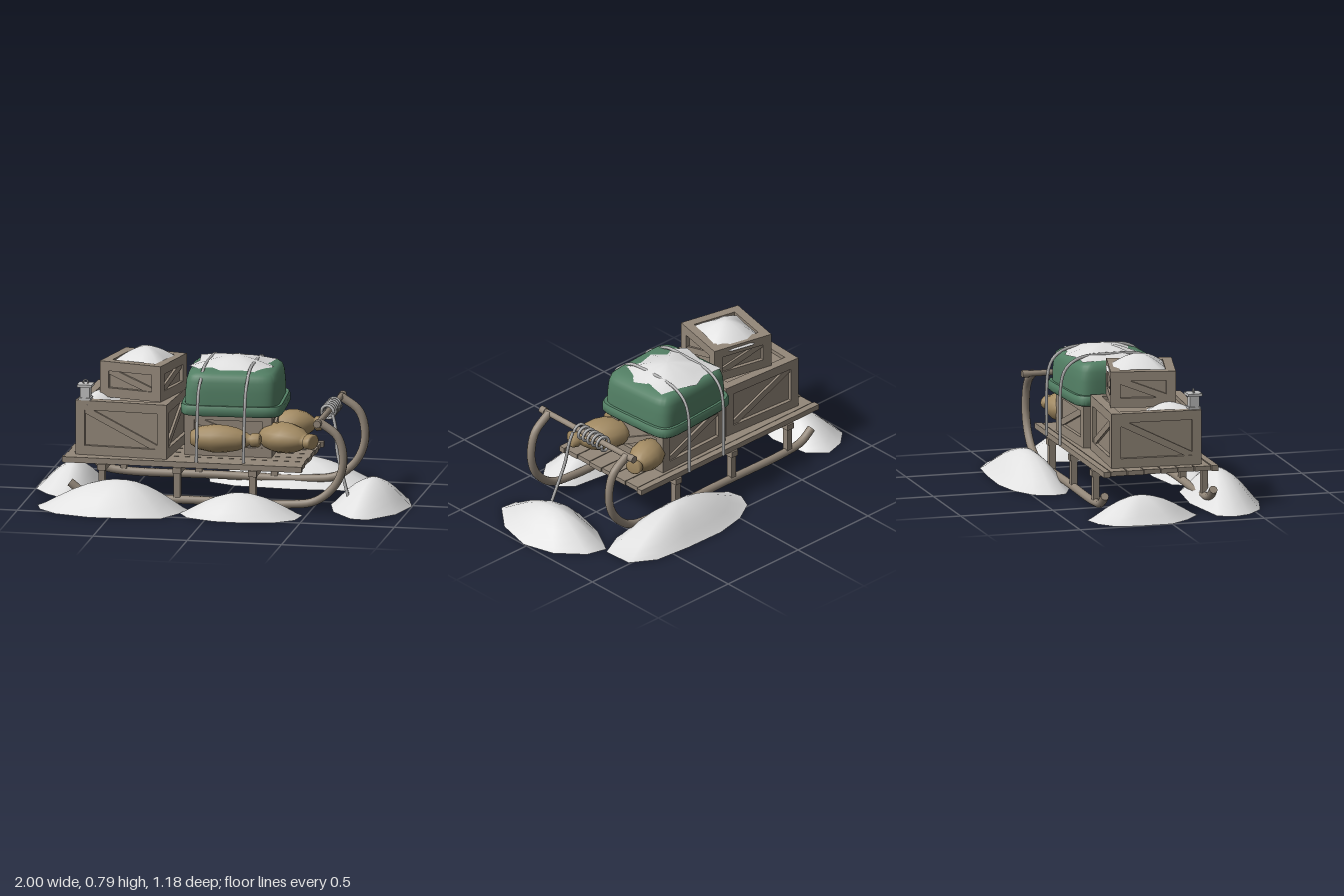
import * as THREE from 'three';
import { toCreasedNormals } from 'three/addons/utils/BufferGeometryUtils.js';

const mat = (name, color, side = THREE.FrontSide) => {
  const m = new THREE.MeshStandardMaterial({ color, side });
  m.name = name;
  return m;
};

export function createModel() {
  const wood = mat('weathered wood', 0x938779);
  const snow = mat('snow', 0xe0e0e0, THREE.DoubleSide);
  const green = mat('green tarp', 0x538065, THREE.DoubleSide);
  const sackcloth = mat('sackcloth', 0xa28a62);
  const rope = mat('pale rope', 0xb6b6b6);
  const metal = mat('lantern metal', 0xc2c2c2);

  const model = new THREE.Group();
  model.name = 'loadedSled';

  const add = (name, geo, material, x = 0, y = 0, z = 0, parent = model) => {
    const m = new THREE.Mesh(geo, material);
    m.name = name;
    m.position.set(x, y, z);
    parent.add(m);
    return m;
  };
  const box = (name, w, h, d, x, y, z, material = wood, parent = model) =>
    add(name, new THREE.BoxGeometry(w, h, d), material, x, y, z, parent);
  const curve = (pts) => new THREE.CatmullRomCurve3(pts.map((p) => new THREE.Vector3(...p)));
  const tube = (name, path, r, material, steps = 40, sides = 8) =>
    add(name, new THREE.TubeGeometry(path, steps, r, sides), material);

  // Skin closed rings of equal length, from bottom to top
  function loft(rings) {
    const n = rings[0].length, idx = [];
    for (let k = 0; k < rings.length - 1; k++)
      for (let i = 0; i < n; i++) {
        const a = k * n + i, b = k * n + (i + 1) % n;
        idx.push(a, a + n, b, b, a + n, b + n);
      }
    const g = new THREE.BufferGeometry();
    g.setAttribute('position', new THREE.Float32BufferAttribute(rings.flat(2), 3));
    g.setIndex(idx);
    g.computeVertexNormals();
    return g;
  }

  // Snow mound: an outline in x,z rising to a soft peak
  function mound(name, outline, [px, pz], h, y = 0) {
    const area = outline.reduce((s, [x, z], i) => {
      const [u, v] = outline[(i + 1) % outline.length];
      return s + x * v - u * z;
    }, 0);
    const pts = area > 0 ? outline : [...outline].reverse();
    const rings = [1, 0.9, 0.75, 0.58, 0.4, 0.22, 0.1, 0].map((t) =>
      pts.map(([x, z]) => [px + (x - px) * t, y + h * (1 - t * t) ** 1.3, pz + (z - pz) * t]));
    add(name, loft(rings), snow);
  }

  // Snow drifts on the ground
  mound('backDrift', [[-0.16, -0.4], [-0.12, -0.49], [0, -0.56], [0.17, -0.595], [0.4, -0.59], [0.6, -0.57],
    [0.73, -0.49], [0.74, -0.33], [0.6, -0.26], [0.3, -0.24], [0, -0.26], [-0.14, -0.32]], [0.3, -0.4], 0.15);
  mound('noseDrift', [[0.72, -0.31], [0.83, -0.28], [0.95, -0.15], [1, 0.02], [0.95, 0.22], [0.83, 0.37],
    [0.74, 0.36], [0.62, 0.22], [0.575, 0.05], [0.63, -0.15]], [0.79, 0.02], 0.145);
  mound('frontRightDrift', [[-0.16, 0.4], [-0.1, 0.5], [0.05, 0.555], [0.2, 0.56], [0.36, 0.53], [0.46, 0.45],
    [0.48, 0.33], [0.4, 0.26], [0.15, 0.23], [-0.08, 0.27]], [0.16, 0.39], 0.12);
  mound('frontLeftDrift', [[-0.92, 0.36], [-0.89, 0.45], [-0.79, 0.54], [-0.6, 0.59], [-0.4, 0.58], [-0.23, 0.55],
    [-0.16, 0.42], [-0.12, 0.33], [-0.25, 0.26], [-0.55, 0.23], [-0.88, 0.28]], [-0.47, 0.4], 0.165);
  mound('tailDrift', [[-1, -0.18], [-0.98, -0.3], [-0.9, -0.37], [-0.79, -0.4], [-0.7, -0.32], [-0.67, -0.1],
    [-0.72, 0.1], [-0.82, 0.19], [-0.92, 0.11], [-1, 0]], [-0.82, -0.12], 0.125);

  // Runners, curled up at the nose, with end caps
  for (const [side, z] of [['left', 0.295], ['right', -0.295]]) {
    const ends = [[-0.76, 0.115, z], [0.56, 0.497, z]];
    const path = curve([ends[0], [-0.69, 0.065, z], [-0.58, 0.048, z], [-0.1, 0.048, z], [0.38, 0.048, z],
      [0.54, 0.072, z], [0.645, 0.16, z], [0.688, 0.28, z], [0.66, 0.42, z], ends[1]]);
    tube(side + 'Runner', path, 0.022, wood, 70, 10);
    ends.forEach((p, i) => {
      const cap = add(side + 'RunnerEnd', new THREE.CircleGeometry(0.022, 10), wood, ...p);
      const dir = path.getTangent(i).multiplyScalar(i ? 1 : -1);
      cap.quaternion.setFromUnitVectors(new THREE.Vector3(0, 0, 1), dir);
    });
  }

  // Cross handle with collars
  const bar = (name, r, len, z) =>
    add(name, new THREE.CylinderGeometry(r, r, len, 12).rotateX(Math.PI / 2), wood, 0.56, 0.495, z);
  bar('handleBar', 0.016, 0.66, 0);
  for (const s of [1, -1]) bar('handleCollar', 0.02, 0.035, s * 0.335);

  // Deck: planks, side rails, cross beams and posts
  for (let i = 0; i < 6; i++)
    box('deckPlank', 1.25 + 0.01 * (i % 2), 0.025, 0.086, -0.165, 0.238, (i - 2.5) * 0.091);
  for (const s of [1, -1]) box('sideRail', 1.27, 0.03, 0.035, -0.165, 0.237, s * 0.293);
  for (const x of [-0.59, -0.19, 0.21]) {
    box('crossBeam', 0.045, 0.032, 0.64, x, 0.206, 0);
    for (const s of [1, -1]) box('post', 0.034, 0.16, 0.034, x, 0.125, s * 0.295);
  }

  // Crate: recessed panels, edge beams and one diagonal brace per side
  function crate(name, w, h, d, x, y, z, turn) {
    const g = new THREE.Group(), t = 0.05, e = 0.02;
    g.name = name;
    g.position.set(x, y + h / 2, z);
    g.rotation.y = turn;
    model.add(g);
    box('panels', w - 2 * e, h - 2 * e, d - 2 * e, 0, 0, 0, wood, g);
    for (const s of [1, -1]) {
      for (const u of [1, -1]) {
        box('uprightBeam', t, h, t, s * (w - t) / 2, 0, u * (d - t) / 2, wood, g);
        box('longBeam', w - 2 * t, t, t, 0, s * (h - t) / 2, u * (d - t) / 2, wood, g);
        box('sideBeam', t, t, d - 2 * t, s * (w - t) / 2, s * u * (h - t) / 2, 0, wood, g);
      }
      const ih = h - 2 * t, iw = w - 2 * t, id = d - 2 * t;
      box('brace', Math.hypot(iw, ih), 0.035, 0.014, 0, 0, s * (d / 2 - 0.014), wood, g)
        .rotation.z = -Math.atan2(ih, iw);
      box('brace', 0.014, 0.035, Math.hypot(id, ih), s * (w / 2 - 0.014), 0, 0, wood, g)
        .rotation.x = Math.atan2(ih, id);
    }
  }
  crate('largeCrate', 0.49, 0.29, 0.48, -0.485, 0.25, 0.01, -0.06);
  crate('topCrate', 0.345, 0.19, 0.34, -0.43, 0.54, 0, -0.22);
  crate('middleCrate', 0.46, 0.24, 0.38, 0.04, 0.25, -0.06, 0.03);

  // Tarp bundle: rounded-square sections with a lip around the base
  const sections = [[0.49, 0, 0], [0.485, 0.24, 0.225], [0.475, 0.262, 0.242], [0.485, 0.27, 0.25], [0.515, 0.27, 0.25],
    [0.53, 0.263, 0.243], [0.53, 0.248, 0.23], [0.6, 0.246, 0.229], [0.65, 0.241, 0.224], [0.68, 0.232, 0.215],
    [0.695, 0.213, 0.197], [0.702, 0.17, 0.16], [0.705, 0, 0]];
  const round = (v) => Math.sign(v) * Math.abs(v) ** 0.3;
  const tarp = loft(sections.map(([y, a, b]) => Array.from({ length: 48 }, (_, i) => {
    const q = (i + 0.5) / 48 * Math.PI * 2;
    return [a * round(Math.cos(q)), y, b * round(Math.sin(q))];
  })));
  add('tarpBundle', toCreasedNormals(tarp, 0.8), green, 0.05, 0, -0.05).rotation.y = 0.07;

  // Snow lying on the load
  mound('tarpSnow', [[-0.18, 0.03], [-0.12, 0.08], [-0.06, 0.055], [0, 0.115], [0.1, 0.09], [0.18, 0.11],
    [0.22, 0.02], [0.26, -0.03], [0.215, -0.1], [0.24, -0.22], [0.12, -0.24], [0.04, -0.275],
    [-0.05, -0.23], [-0.17, -0.24], [-0.15, -0.1]], [0.05, -0.06], 0.047, 0.701);
  mound('topCrateSnow', [[-0.59, 0.08], [-0.52, 0.13], [-0.42, 0.14], [-0.31, 0.17], [-0.28, 0.05], [-0.24, -0.08],
    [-0.32, -0.16], [-0.44, -0.19], [-0.53, -0.16], [-0.56, -0.02]], [-0.42, -0.01], 0.08, 0.708);
  mound('largeCrateSnow', [[-0.73, 0.1], [-0.68, -0.01], [-0.62, -0.04], [-0.54, 0], [-0.53, 0.1], [-0.6, 0.2],
    [-0.68, 0.24], [-0.73, 0.2]], [-0.63, 0.09], 0.05, 0.518);

  // Tied sacks lying on their sides
  const profile = [[0, 0], [0.5, 0.01], [0.82, 0.12], [1, 0.32], [0.98, 0.5], [0.8, 0.68], [0.5, 0.81],
    [0.36, 0.85], [0.5, 0.88], [0.5, 0.98], [0.4, 1], [0, 1]].map((p) => new THREE.Vector2(...p));
  const sack = (name, len, r, wide, x, y, z, turn) => {
    const g = new THREE.LatheGeometry(profile, 14).rotateZ(-Math.PI / 2).scale(len, r, r * wide);
    add(name, g, sackcloth, x, y, z).rotation.y = turn;
  };
  sack('frontSack', 0.37, 0.073, 1.05, -0.14, 0.36, 0.2, 0);
  sack('noseSack', 0.32, 0.08, 1.3, 0.22, 0.36, 0.06, -0.42);
  sack('backSack', 0.25, 0.077, 1.15, 0.23, 0.36, -0.17, 0.3);

  // Lashing ropes over the tarp
  for (const [x, z] of [[-0.09, 0.3], [0.155, 0.275]])
    tube('lashingRope', curve([[x, 0.25, z], [x, 0.45, z - 0.02], [x, 0.62, z - 0.06], [x, 0.675, 0.16],
      [x, 0.712, 0.1], [x, 0.722, -0.06], [x, 0.71, -0.23], [x, 0.665, -0.3], [x, 0.6, -0.33],
      [x, 0.25, -0.34]]), 0.0085, rope, 60, 6);

  // Rope coiled on the handle, with a hanging tail
  const coil = [];
  for (let i = 0; i <= 72; i++) {
    const q = i / 12 * Math.PI * 2;
    coil.push([0.56 + 0.034 * Math.cos(q), 0.493 + 0.036 * Math.sin(q), 0.07 - 0.21 * i / 72]);
  }
  tube('coiledRope', curve(coil), 0.0085, rope, 200, 6);
  tube('ropeTail', curve([[0.59, 0.49, 0.08], [0.608, 0.42, 0.092], [0.62, 0.3, 0.11], [0.655, 0.17, 0.13],
    [0.685, 0.07, 0.145]]), 0.009, rope, 24, 6);

  // Small lantern on the large crate
  const lantern = new THREE.Group();
  lantern.name = 'lantern';
  lantern.position.set(-0.695, 0.54, 0.205);
  model.add(lantern);
  box('lanternBase', 0.064, 0.012, 0.064, 0, 0.006, 0, metal, lantern);
  box('lanternBody', 0.05, 0.066, 0.05, 0, 0.04, 0, metal, lantern);
  box('lanternRoof', 0.078, 0.014, 0.078, 0, 0.077, 0, metal, lantern);
  add('lanternRing', new THREE.TorusGeometry(0.013, 0.004, 6, 14), metal, 0, 0.09, 0, lantern);

  return model;
}
